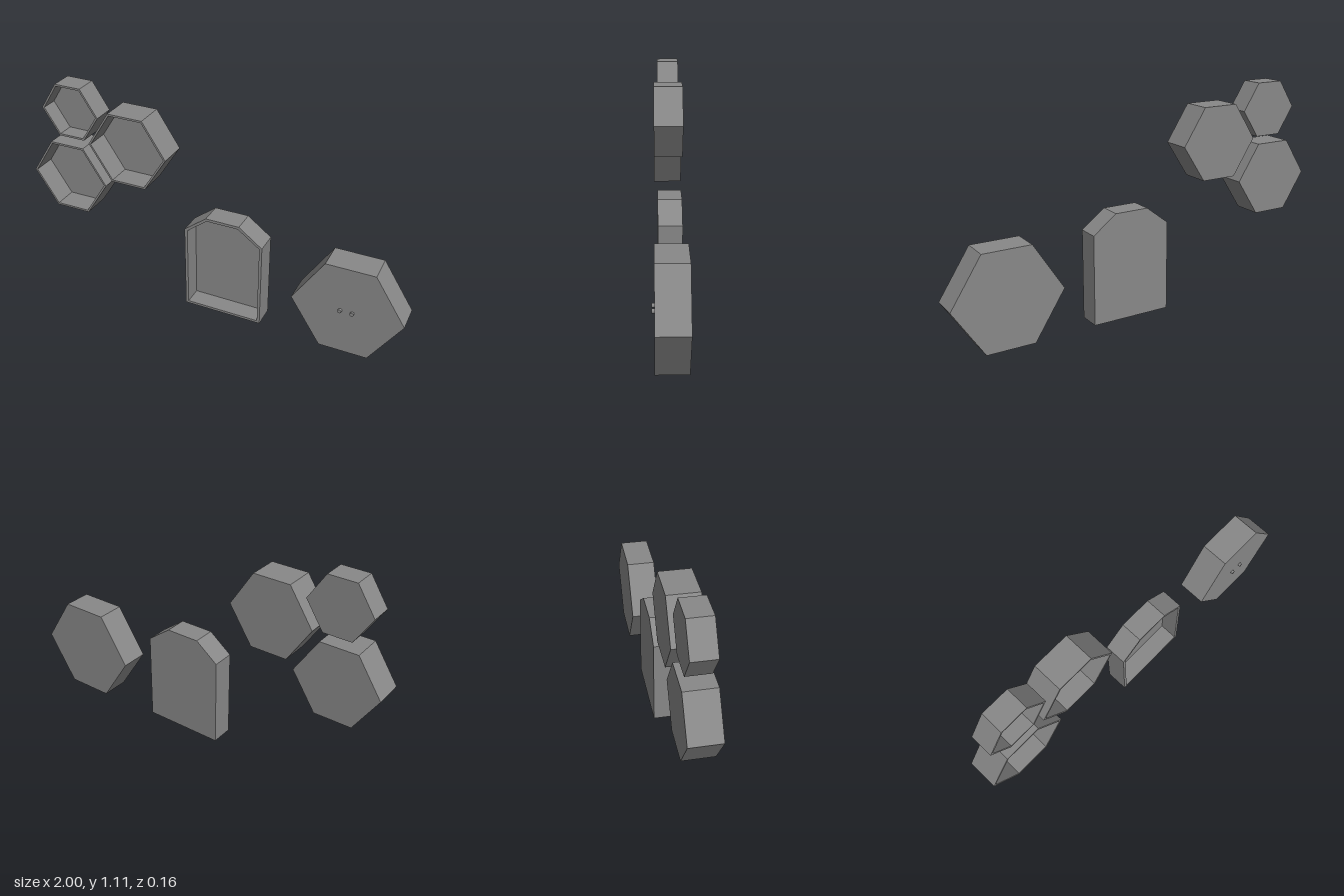
import * as THREE from 'three';

const material = new THREE.MeshStandardMaterial({ color: 0x888888, flatShading: true });
const toPoints = (list) => list.map(([x, y]) => new THREE.Vector2(x, y));

// Flat-topped hexagon: half width, half height, half length of the top edge
function hexagon(cx, cy, w, h, t) {
  return [[w, 0], [t, h], [-t, h], [-w, 0], [-t, -h], [t, -h]].map(([x, y]) => [cx + x, cy + y]);
}

function slab(name, outline, z0, z1, hole) {
  const shape = new THREE.Shape(toPoints(outline));
  if (hole) shape.holes.push(new THREE.Path(toPoints(hole)));
  const geometry = new THREE.ExtrudeGeometry(shape, { depth: z1 - z0, bevelEnabled: false });
  geometry.translate(0, 0, z0);
  const mesh = new THREE.Mesh(geometry, material);
  mesh.name = name;
  return mesh;
}

// Shallow box open to the front: a wall ring in front of a back panel
function tray(name, outer, inner, z0, z1, back) {
  const group = new THREE.Group();
  group.name = name;
  group.add(slab('backPanel', outer, z0, z0 + back));
  group.add(slab('rim', outer, z0 + back, z1, inner));
  return group;
}

export function createModel() {
  const model = new THREE.Group();
  model.name = 'wallShelves';

  // Three open hexagonal shelves: centre, half sizes, depth range
  const hexes = [
    ['smallHexShelf', -0.761, 0.969, 0.16, 0.138, 0.071, -0.062, 0.053],
    ['rightHexShelf', -0.437, 0.831, 0.214, 0.185, 0.094, -0.08, 0.071],
    ['lowerHexShelf', -0.783, 0.609, 0.214, 0.185, 0.094, -0.08, 0.071],
  ];
  for (const [name, x, y, w, h, t, z0, z1] of hexes) {
    const k = 1 - 0.01 / h;
    model.add(tray(name, hexagon(x, y, w, h, t), hexagon(x, y, w * k, h * k, t * k), z0, z1, 0.03));
  }

  // Tall open shelf with clipped top corners
  model.add(tray('tallShelf',
    [[-0.137, 0.004], [0.278, 0.004], [0.278, 0.461], [0.156, 0.552], [-0.02, 0.552], [-0.137, 0.461]],
    [[-0.122, 0.017], [0.264, 0.017], [0.264, 0.455], [0.15, 0.538], [-0.015, 0.538], [-0.122, 0.455]],
    -0.062, 0.053, 0.02));

  // Closed hexagonal cabinet with two small knobs
  const cabinet = new THREE.Group();
  cabinet.name = 'hexCabinet';
  cabinet.add(slab('cabinetBody', hexagon(0.722, 0.242, 0.278, 0.242, 0.122), -0.077, 0.069));
  for (const x of [0.691, 0.751]) {
    const knob = new THREE.Mesh(new THREE.CylinderGeometry(0.01, 0.01, 0.014, 16), material);
    knob.name = 'knob';
    knob.rotation.x = Math.PI / 2;
    knob.position.set(x, 0.243, 0.074);
    cabinet.add(knob);
  }
  model.add(cabinet);
  return model;
}
